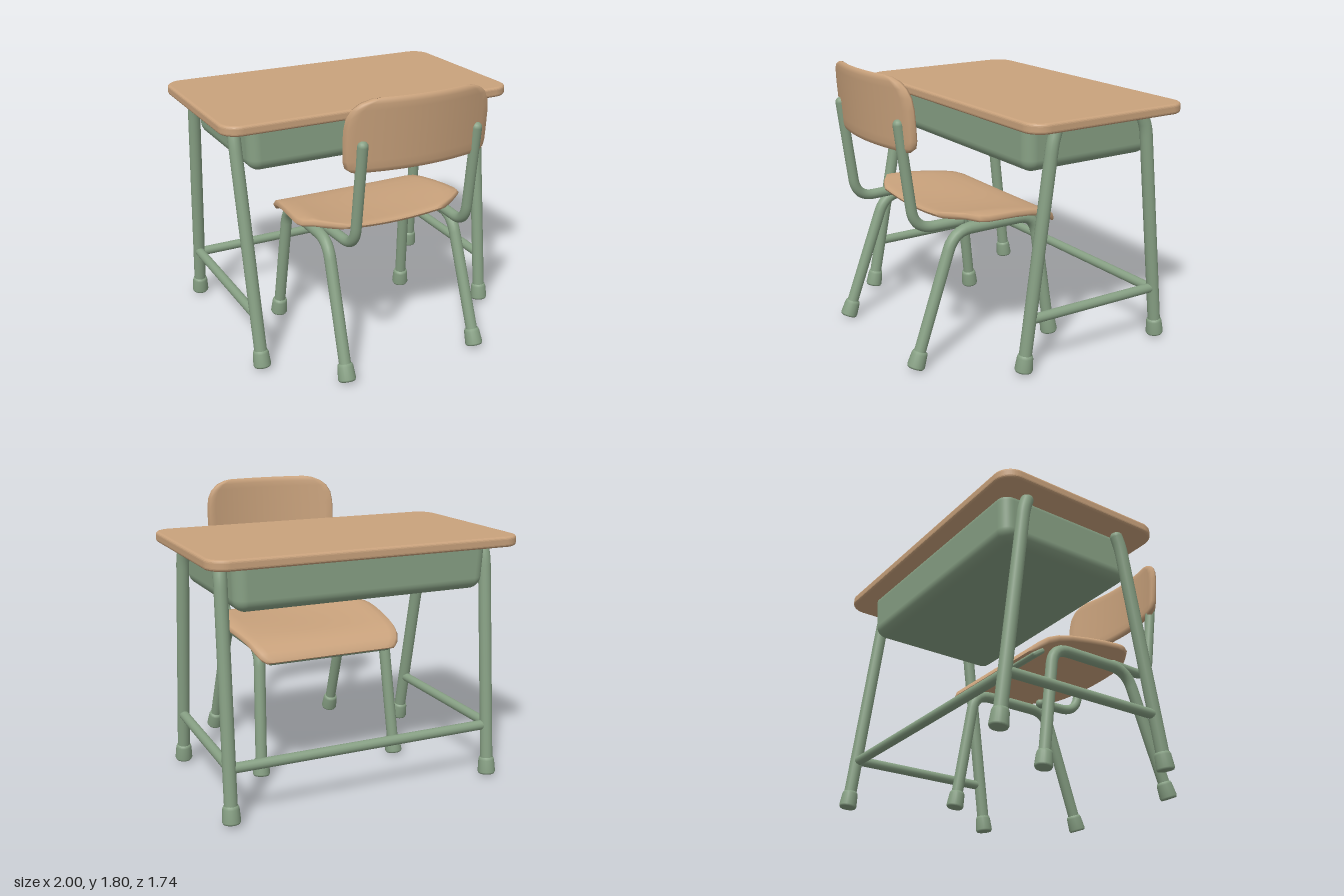
import * as THREE from 'three';
import { RoundedBoxGeometry } from 'three/addons/geometries/RoundedBoxGeometry.js';

const wood = new THREE.MeshStandardMaterial({ color: 0xc9a27c });
wood.name = 'warm wood';
const metal = new THREE.MeshStandardMaterial({ color: 0x87a084 });
metal.name = 'sage green metal';

const V = (x, y, z) => new THREE.Vector3(x, y, z);

function mesh(name, geometry, material, parent) {
  const m = new THREE.Mesh(geometry, material);
  m.name = name;
  parent.add(m);
  return m;
}

// Round tube through points, with softened corners and domed ends
function tube(name, pts, radius, parent, bend = 0.1) {
  const path = new THREE.CurvePath();
  let from = pts[0];
  for (let i = 1; i < pts.length - 1; i++) {
    const p = pts[i];
    const cut = (q) => p.clone().add(q.clone().sub(p).setLength(Math.min(bend, q.distanceTo(p) * 0.45)));
    const a = cut(pts[i - 1]), b = cut(pts[i + 1]);
    path.add(new THREE.LineCurve3(from, a));
    path.add(new THREE.QuadraticBezierCurve3(a, p, b));
    from = b;
  }
  const end = pts[pts.length - 1];
  path.add(new THREE.LineCurve3(from, end));
  const g = new THREE.Group();
  g.name = name;
  parent.add(g);
  mesh(name + 'Tube', new THREE.TubeGeometry(path, pts.length > 2 ? 64 : 4, radius, 16), metal, g);
  for (const p of [pts[0], end]) {
    mesh(name + 'End', new THREE.SphereGeometry(radius, 16, 10), metal, g).position.copy(p);
  }
}

// Flared cap at the bottom of a leg, tilted with the leg
function foot(name, base, toward, parent) {
  const profile = [[0, 0], [0.05, 0], [0.056, 0.012], [0.05, 0.09], [0.045, 0.106], [0.03, 0.112]];
  const m = mesh(name, new THREE.LatheGeometry(profile.map((p) => new THREE.Vector2(...p)), 20), metal, parent);
  m.position.copy(base);
  m.position.y = 0.005;
  m.quaternion.setFromUnitVectors(V(0, 1, 0), toward.clone().sub(base).normalize());
}

// Curved slab: stations are [v, half width, half thickness]; place(x, v, t) bends it
function slab(stations, place) {
  const N = 20, ring = [[-1, 0]];
  for (let i = 0; i <= N; i++) ring.push([(-1 + (2 * i) / N) * 0.97, 1]);
  ring.push([1, 0]);
  for (let i = N; i >= 0; i--) ring.push([(-1 + (2 * i) / N) * 0.97, -1]);
  const pos = [], idx = [], K = ring.length;
  stations.forEach(([v, w, h], s) => {
    ring.forEach(([u, t], j) => {
      pos.push(...place(u * w, v, t * h));
      if (s === stations.length - 1) return;
      const a = s * K + j, b = s * K + ((j + 1) % K);
      idx.push(a, a + K, b, b, a + K, b + K);
    });
  });
  const g = new THREE.BufferGeometry();
  g.setAttribute('position', new THREE.Float32BufferAttribute(pos, 3));
  g.setIndex(idx);
  g.computeVertexNormals();
  return g;
}

function buildDesk() {
  const desk = new THREE.Group();
  desk.name = 'desk';

  // Table top with rounded corners and edges
  const b = 0.018, X = 1 - b, Z = 0.58 - b, r = 0.1;
  const s = new THREE.Shape();
  s.absarc(X - r, Z - r, r, 0, Math.PI / 2);
  s.absarc(-X + r, Z - r, r, Math.PI / 2, Math.PI);
  s.absarc(-X + r, -Z + r, r, Math.PI, Math.PI * 1.5);
  s.absarc(X - r, -Z + r, r, Math.PI * 1.5, Math.PI * 2);
  s.closePath();
  const top = new THREE.ExtrudeGeometry(s, {
    depth: 0.065 - 2 * b, bevelEnabled: true, bevelSize: b, bevelThickness: b, bevelSegments: 4, curveSegments: 10,
  });
  top.rotateX(-Math.PI / 2).translate(0, 1.495 + b, -0.29);
  mesh('tableTop', top, wood, desk);

  // Storage tray, slightly narrower at the bottom
  const tray = new RoundedBoxGeometry(1.65, 0.33, 0.97, 5, 0.075);
  const p = tray.attributes.position;
  for (let i = 0; i < p.count; i++) {
    const k = 1 - 0.05 * (0.165 - p.getY(i));
    p.setX(i, p.getX(i) * k);
    p.setZ(i, p.getZ(i) * (2 * k - 1));
  }
  mesh('storageTray', tray, metal, desk).position.set(0, 1.385, -0.275);

  // Legs: foot x, foot z, top x, top z
  const legs = {
    leftFront: [0.86, 0.24, 0.87, 0.065], rightFront: [-0.86, 0.37, -0.87, 0.09],
    leftBack: [0.89, -0.8, 0.87, -0.65], rightBack: [-0.86, -0.8, -0.87, -0.65],
  };
  for (const [name, [fx, fz, tx, tz]] of Object.entries(legs)) {
    const base = V(fx, 0.01, fz), knee = V(tx, 1.4, tz);
    const tip = V(tx * 0.995, 1.475, tz + (tz > 0 ? -0.025 : 0.025));
    tube(name + 'DeskLeg', [base.clone().lerp(knee, 0.04), knee, tip], 0.04, desk, 0.05);
    foot(name + 'DeskFoot', base, knee, desk);
  }

  // Foot rails
  tube('leftRail', [V(0.865, 0.335, 0.2), V(0.885, 0.335, -0.76)], 0.031, desk);
  tube('rightRail', [V(-0.865, 0.335, 0.29), V(-0.865, 0.335, -0.76)], 0.031, desk);
  tube('backRail', [V(-0.86, 0.325, -0.76), V(0.88, 0.325, -0.76)], 0.031, desk);
  return desk;
}

function buildChair() {
  const chair = new THREE.Group();
  chair.name = 'chair';

  // Seat: dished across, rolled down at the edge under the desk
  const heights = [[-0.285, 0.765], [-0.22, 0.815], [-0.15, 0.845], [-0.05, 0.862], [0.1, 0.87], [0.3, 0.876], [0.53, 0.888]];
  const spine = new THREE.SplineCurve(heights.map((h) => new THREE.Vector2(...h)));
  const line = spine.getPoints(120);
  const seatY = (z) => line.reduce((a, q) => (Math.abs(q.x - z) < Math.abs(a.x - z) ? q : a)).y;
  const seatStations = [
    [-0.285, 0.42, 0], [-0.275, 0.46, 0.016], [-0.25, 0.49, 0.024], [-0.2, 0.515, 0.024], [-0.13, 0.53, 0.022],
    [-0.04, 0.545, 0.02], [0.08, 0.56, 0.02], [0.2, 0.575, 0.02], [0.3, 0.583, 0.02], [0.36, 0.57, 0.02],
    [0.42, 0.52, 0.02], [0.47, 0.45, 0.02], [0.505, 0.385, 0.019], [0.52, 0.35, 0.014], [0.527, 0.33, 0],
  ];
  mesh('seat', slab(seatStations, (x, z, t) => {
    const fade = THREE.MathUtils.smoothstep(z, -0.28, 0.35);
    const e = Math.abs(x) / 0.5;
    const lift = 0.045 * fade * (Math.min(e, 1) ** 2 - 2.5 * Math.max(0, e - 1));
    return [x, seatY(z) + lift + t, z];
  }), wood, chair);

  // Brace under the rolled seat edge
  const brace = mesh('seatBrace', new RoundedBoxGeometry(0.86, 0.035, 0.1, 3, 0.015), metal, chair);
  brace.position.set(0, 0.775, -0.215);
  brace.rotation.x = -0.6;

  // Curved backrest, leaning slightly
  const backStations = [
    [1.342, 0.38, 0], [1.349, 0.43, 0.015], [1.375, 0.465, 0.022], [1.42, 0.477, 0.022], [1.5, 0.479, 0.022],
    [1.6, 0.479, 0.022], [1.67, 0.468, 0.022], [1.72, 0.44, 0.022], [1.755, 0.395, 0.022], [1.778, 0.335, 0.015],
    [1.786, 0.28, 0],
  ];
  mesh('backrest', slab(backStations, (x, y, t) =>
    [x, y, 0.815 + 0.08 * (y - 1.34) - 0.085 * (x / 0.48) ** 2 - t]), wood, chair);

  for (const [side, k] of [['left', 1], ['right', -1]]) {
    // Bent side frame with both legs
    const rear = V(k * 0.465, 0.01, 0.765), front = V(k * 0.485, 0.01, -0.235);
    const rearKnee = V(k * 0.445, 0.825, 0.47), frontKnee = V(k * 0.445, 0.825, -0.125);
    tube(side + 'ChairFrame', [rear.clone().lerp(rearKnee, 0.06), rearKnee, frontKnee,
      front.clone().lerp(frontKnee, 0.06)], 0.037, chair, 0.12);
    foot(side + 'RearChairFoot', rear, rearKnee, chair);
    foot(side + 'FrontChairFoot', front, frontKnee, chair);
    // Backrest support
    tube(side + 'BackSupport', [V(k * 0.4, 0.865, 0.4), V(k * 0.385, 0.862, 0.71), V(k * 0.38, 1.51, 0.797)],
      0.033, chair, 0.13);
  }
  return chair;
}

export function createModel() {
  const model = new THREE.Group();
  model.name = 'schoolDeskAndChair';
  model.add(buildDesk(), buildChair());
  return model;
}
